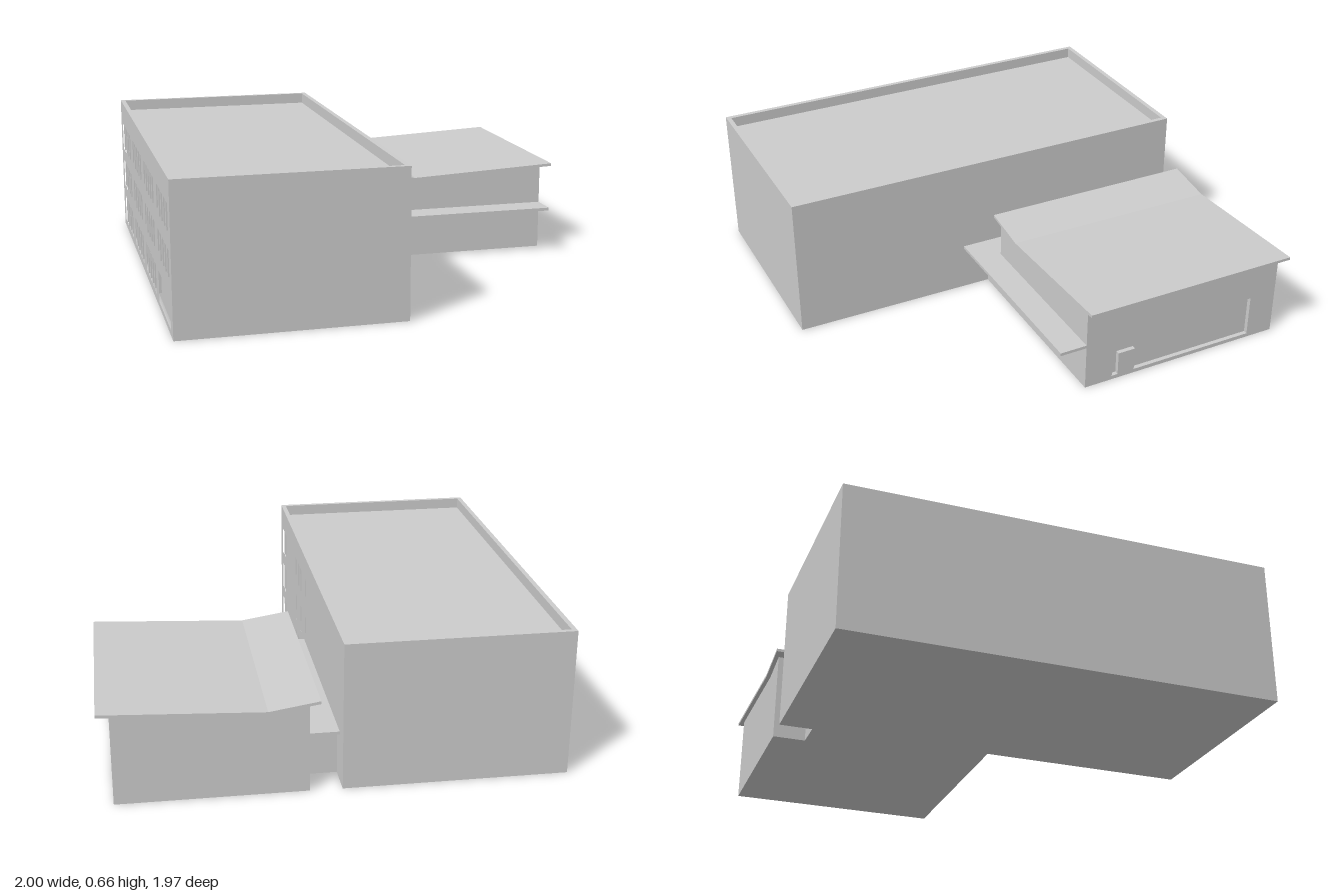
import * as THREE from 'three';

const material = new THREE.MeshStandardMaterial({ color: 0xcccccc, flatShading: true });

function add(parent, name, geometry) {
  const mesh = new THREE.Mesh(geometry, material);
  mesh.name = name;
  parent.add(mesh);
  return mesh;
}

// Box given by its extents on each axis
function block(parent, name, [x0, x1], [y0, y1], [z0, z1]) {
  const g = new THREE.BoxGeometry(x1 - x0, y1 - y0, z1 - z0);
  g.translate((x0 + x1) / 2, (y0 + y1) / 2, (z0 + z1) / 2);
  return add(parent, name, g);
}

function polygon(points, Type = THREE.Shape) {
  return new Type(points.map(([x, y]) => new THREE.Vector2(x, y)));
}

const rect = (z0, z1, y0, y1) => [[z0, y0], [z1, y0], [z1, y1], [z0, y1]];

// Wall lying in the z-y plane from x0 to x1, with openings given as [z, y] outlines
function sideWall(parent, name, [x0, x1], outline, openings) {
  const flip = pts => pts.map(([z, y]) => [-z, y]);
  const shape = polygon(flip(outline));
  shape.holes = openings.map(o => polygon(flip(o), THREE.Path));
  const g = new THREE.ExtrudeGeometry(shape, { depth: x1 - x0, bevelEnabled: false });
  g.rotateY(Math.PI / 2).translate(x0, 0, 0);
  return add(parent, name, g);
}

// Profile in the x-y plane pulled along z
function pulled(parent, name, points, [z0, z1]) {
  const g = new THREE.ExtrudeGeometry(polygon(points), { depth: z1 - z0, bevelEnabled: false });
  g.translate(0, 0, z0);
  return add(parent, name, g);
}

export function createModel() {
  const model = new THREE.Group();
  model.name = 'building';

  // Main block: core, parapet and two windowed side walls
  const main = new THREE.Group();
  main.name = 'mainBlock';
  model.add(main);
  const T = 0.022, X0 = -1, X1 = -0.015, Z0 = -0.97, Z1 = 0.98, H = 0.66;
  block(main, 'core', [X0 + T, X1 - T], [0, 0.61], [Z0, Z1]);
  block(main, 'frontParapet', [X0 + T, X1 - T], [0.61, H], [Z1 - T, Z1]);
  block(main, 'backParapet', [X0 + T, X1 - T], [0.61, H], [Z0, Z0 + T]);

  // Windows sit on a regular grid; slot 0 is nearest the front
  const sills = [0.033, 0.225, 0.418];
  const windowAt = (slot, row) => {
    const z = 0.89 - 0.08 * slot;
    return rect(z - 0.025, z + 0.025, sills[row], sills[row] + 0.132);
  };
  const rightSlots = [
    [0, 1, 4, 6, 7, 9, 10],
    [0, 1, 4, 6, 8, 10],
    [0, 1, 4, 6, 7, 8, 10],
  ];
  const rightOpenings = rightSlots.flatMap((slots, row) => slots.map(s => windowAt(s, row)));
  sideWall(main, 'courtyardWall', [X1 - T, X1], rect(Z0, Z1, 0, H), rightOpenings);

  // Outer wall: groups of five windows, with a wide glazed bay at ground level in front
  const leftOpenings = [rect(0.53, 0.92, 0.025, 0.165)];
  for (let row = 0; row < 3; row++)
    for (let slot = 0; slot < 23; slot++)
      if (slot % 6 !== 5 && !(row === 0 && slot < 5)) leftOpenings.push(windowAt(slot, row));
  sideWall(main, 'outerWall', [X0, X0 + T], rect(Z0, Z1, 0, H), leftOpenings);

  // Hall with a bent roof
  const hall = new THREE.Group();
  hall.name = 'hall';
  model.add(hall);
  const back = -0.967, front = 0.02;
  pulled(hall, 'hallBody', [[0.125, 0], [0.925, 0], [0.925, 0.406], [0.3, 0.377], [0.125, 0.404]], [back, front]);

  // Large glazed recess that steps around a flush door
  const glazing = [
    [-0.115, 0.018], [-0.145, 0.018], [-0.145, 0.13], [-0.228, 0.13],
    [-0.228, 0.018], [-0.835, 0.018], [-0.835, 0.212], [-0.115, 0.212],
  ];
  sideWall(hall, 'hallSideWall', [0.925, 0.945], rect(back, front, 0, 0.406), [glazing]);
  pulled(hall, 'hallRoof',
    [[0.08, 0.408], [0.3, 0.375], [1, 0.408], [1, 0.421], [0.3, 0.387], [0.08, 0.421]], [-0.986, 0.034]);

  // Low link between the two volumes, with its roof slab and the front canopy
  const link = new THREE.Group();
  link.name = 'link';
  model.add(link);
  block(link, 'linkBody', [X1, 0.125], [0, 0.212], [-0.82, front]);
  block(link, 'linkRoof', [X1, 0.125], [0.212, 0.226], [-0.885, front]);
  block(link, 'canopy', [X1, 0.945], [0.212, 0.226], [front, 0.147]);

  return model;
}
